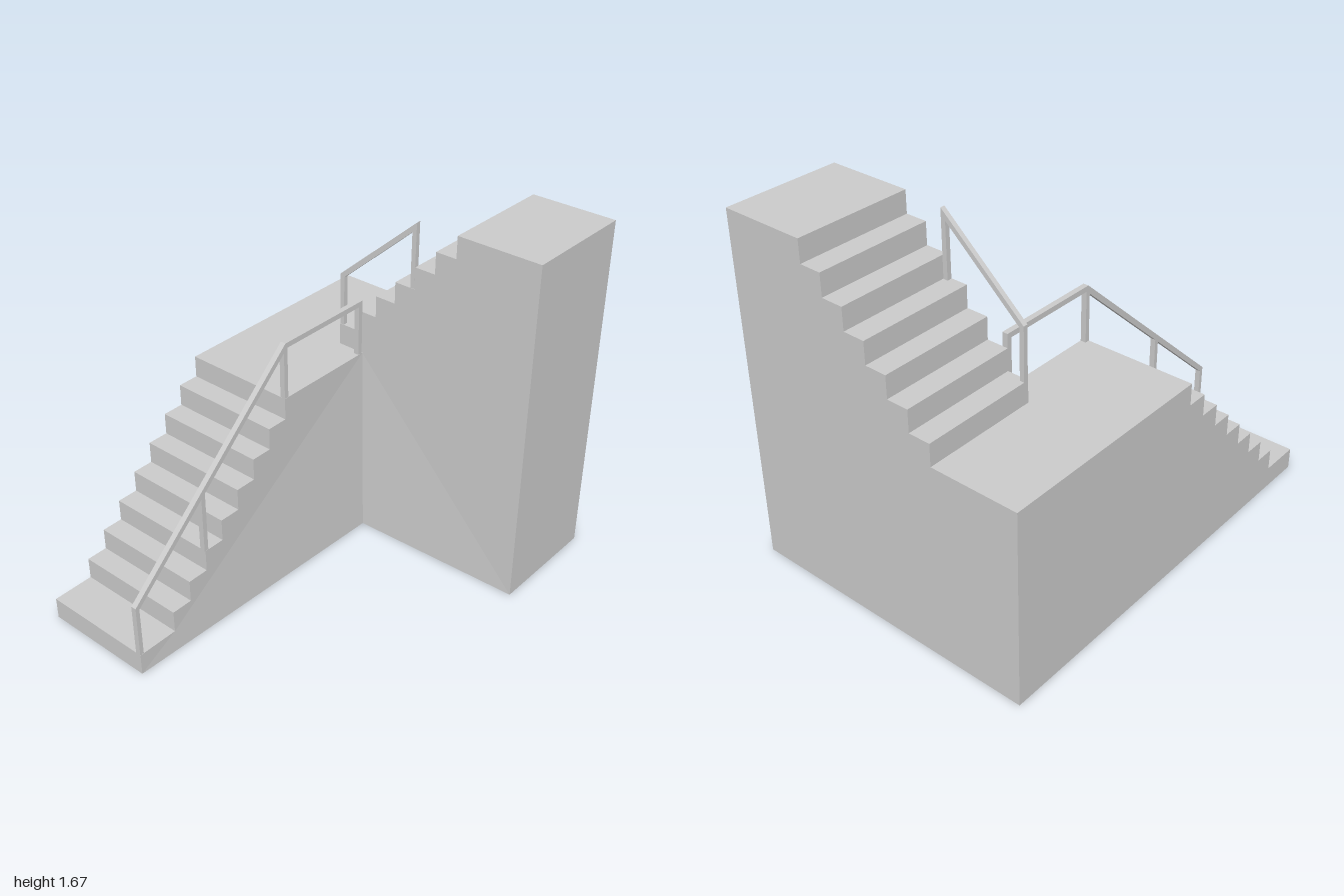
import * as THREE from 'three';

const grey = new THREE.MeshStandardMaterial({ color: 0xcccccc, side: THREE.DoubleSide });
const RISE = 0.1045, RUN = 0.1035;
const W = 0.722;          // half width
const INNER = -0.17;      // open side of the lower flight
const FRONT = -0.448;     // open side of the upper flight
const LAND = 9 * RISE;    // landing height
const TOP = 16 * RISE;

// Flat faces, each given by its outline and the axis and sign it looks along
function shell(name, faces) {
  const pos = [];
  for (const [outline, axis, sign] of faces) {
    const [u, v] = [0, 1, 2].filter(i => i !== axis);
    const flat = outline.map(p => new THREE.Vector2(p[u], p[v]));
    const reversed = THREE.ShapeUtils.isClockWise(flat);
    const pts = reversed ? [...outline].reverse() : outline;
    if (reversed) flat.reverse();
    const flip = (axis === 1 ? -1 : 1) !== sign;
    for (const [a, b, c] of THREE.ShapeUtils.triangulateShape(flat, [])) {
      pos.push(...pts[a], ...pts[flip ? c : b], ...pts[flip ? b : c]);
    }
  }
  const geo = new THREE.BufferGeometry();
  geo.setAttribute('position', new THREE.Float32BufferAttribute(pos, 3));
  geo.computeVertexNormals();
  const mesh = new THREE.Mesh(geo, grey);
  mesh.name = name;
  return mesh;
}

// Bars drawn as outlines in a vertical plane and given a square thickness
function railing(name, outlines, thickness) {
  const group = new THREE.Group();
  group.name = name;
  outlines.forEach((o, i) => {
    const shape = new THREE.Shape(o.map(p => new THREE.Vector2(...p)));
    const geo = new THREE.ExtrudeGeometry(shape, { depth: thickness, bevelEnabled: false });
    const bar = new THREE.Mesh(geo, grey);
    bar.name = i === 0 ? 'handrail' : 'post';
    group.add(bar);
  });
  return group;
}
const post = (a, b, y0, y1, y2 = y1) => [[a, y0], [b, y0], [b, y2], [a, y1]];

export function createModel() {
  const model = new THREE.Group();
  model.name = 'staircase';

  // Lower flight: rises from the front towards the landing
  const lower = [], lowerProfile = [];
  for (let i = 0; i < 9; i++) {
    const z0 = i === 0 ? 1 : 0.8 - (i - 1) * RUN;
    const z1 = i === 8 ? FRONT : 0.8 - i * RUN;
    const y0 = i * RISE, y1 = y0 + RISE;
    lower.push([[[-W, y0, z0], [INNER, y0, z0], [INNER, y1, z0], [-W, y1, z0]], 2, 1]);
    lower.push([[[-W, y1, z0], [INNER, y1, z0], [INNER, y1, z1], [-W, y1, z1]], 1, 1]);
    lowerProfile.push([y0, z0], [y1, z0]);
  }
  model.add(shell('lowerSteps', lower));

  // Upper flight: turns and rises towards +x
  const upper = [], upperProfile = [];
  for (let i = 0; i < 7; i++) {
    const x0 = -0.305 + i * RUN, x1 = i === 6 ? W : x0 + RUN;
    const y0 = LAND + i * RISE, y1 = y0 + RISE;
    upper.push([[[x0, y0, -1], [x0, y0, FRONT], [x0, y1, FRONT], [x0, y1, -1]], 0, -1]);
    upper.push([[[x0, y1, -1], [x1, y1, -1], [x1, y1, FRONT], [x0, y1, FRONT]], 1, 1]);
    upperProfile.push([x0, y0], [x0, y1]);
  }
  upperProfile.push([W, TOP]);
  model.add(shell('upperSteps', upper));

  // Rear part of the landing
  model.add(shell('landing', [
    [[[-W, LAND, FRONT], [-0.305, LAND, FRONT], [-0.305, LAND, -1], [-W, LAND, -1]], 1, 1],
  ]));

  // Walls; the two inner ones flare slightly towards the foot of their shared corner
  const foot = [-0.128, 0, -0.422], corner = [INNER, LAND, FRONT];
  const start = [INNER, 0, 1], firstTread = [INNER, RISE, 0.8], end = [W, 0, FRONT];
  model.add(shell('innerSideWall', [
    [[start, [INNER, RISE, 1], firstTread], 0, 1],
    [[start, firstTread, foot], 0, 1],
    [[firstTread, corner, foot], 0, 1],
    [[...lowerProfile.slice(2).map(([y, z]) => [INNER, y, z]), corner], 0, 1],
  ]));
  model.add(shell('innerFrontWall', [
    [[foot, end, corner], 2, 1],
    [[corner, end, ...upperProfile.map(([x, y]) => [x, y, FRONT]).reverse()], 2, 1],
  ]));
  model.add(shell('outerSideWall', [
    [[...lowerProfile.map(([y, z]) => [-W, y, z]), [-W, LAND, -1], [-W, 0, -1]], 0, -1],
  ]));
  model.add(shell('backWall', [
    [[[-W, 0, -1], [-W, LAND, -1], ...upperProfile.map(([x, y]) => [x, y, -1]), [W, 0, -1]], 2, -1],
  ]));
  model.add(shell('endWall', [
    [[[W, 0, -1], [W, 0, FRONT], [W, TOP, FRONT], [W, TOP, -1]], 0, 1],
  ]));

  // Lower railing, drawn in (-z, y) and turned to run along z
  const lowerRail = railing('lowerRailing', [
    [[-1, 0.335], [-1, 0.36], [-0.065, 1.21], [0.443, 1.21], [0.443, 1.185], [-0.055, 1.185], [-0.98, 0.345]],
    post(-1, -0.98, RISE, 0.34, 0.355),
    post(-0.597, -0.575, 4 * RISE, 0.7, 0.72),
    post(-0.075, -0.053, LAND, 1.18, 1.19),
    post(0.42, 0.443, LAND, 1.19),
  ], 0.026);
  lowerRail.rotation.y = Math.PI / 2;
  lowerRail.position.x = -0.197;
  model.add(lowerRail);

  // Upper railing
  const upperRail = railing('upperRailing', [
    [[-0.305, 1.27], [-0.305, 1.297], [0.107, 1.667], [0.107, 1.637], [-0.283, 1.285]],
    post(-0.305, -0.283, LAND + RISE, 1.275, 1.29),
    post(0.085, 0.107, LAND + 4 * RISE, 1.62, 1.64),
  ], 0.022);
  upperRail.position.z = -0.472;
  model.add(upperRail);

  return model;
}
